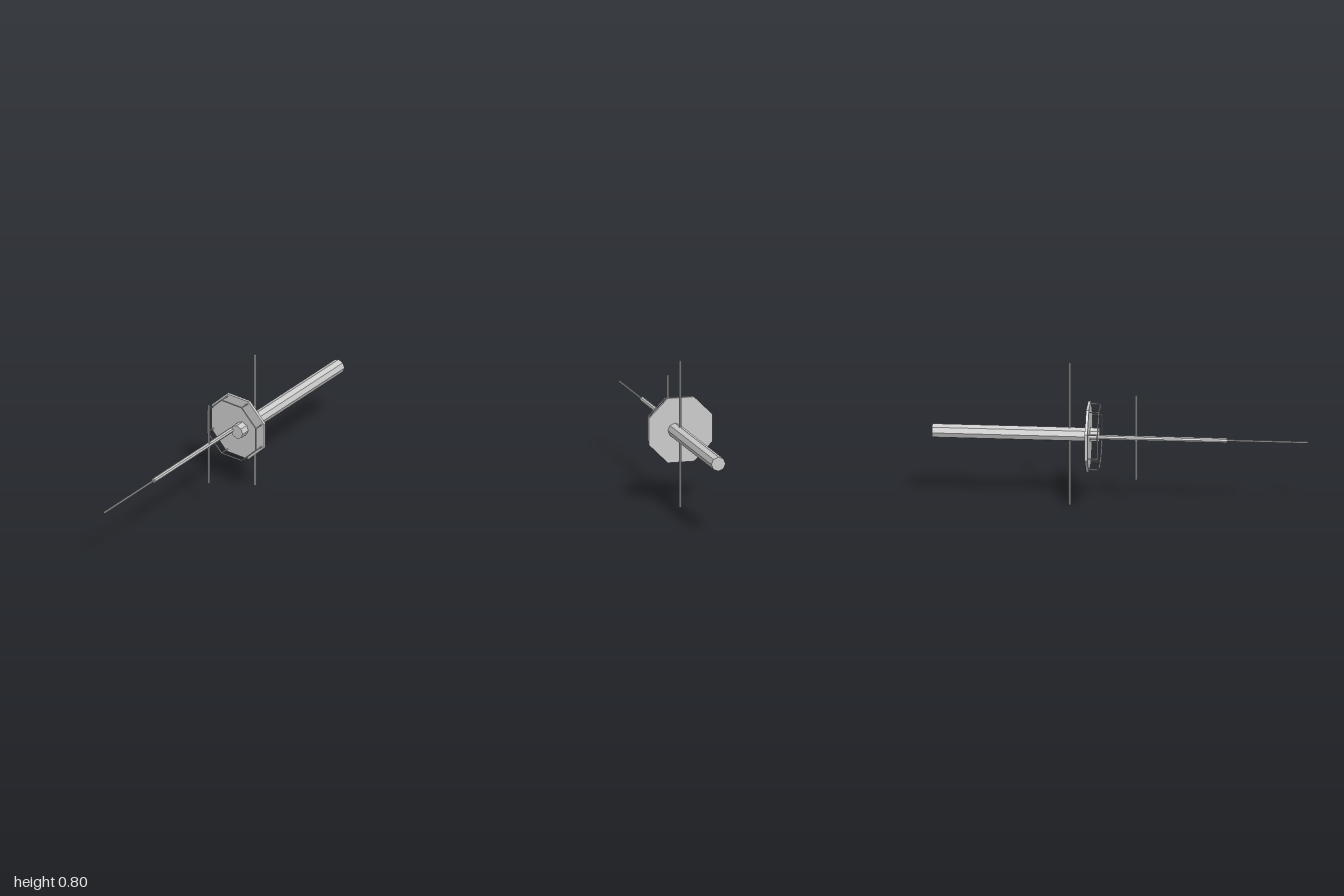
import * as THREE from 'three';

const material = new THREE.MeshStandardMaterial({ color: 0xcccccc, flatShading: true });
const AXIS_Y = 0.397;

// Straight faceted bar between two points
function bar(name, a, b, radius, sides = 8, turn = 0) {
  const start = new THREE.Vector3(...a), end = new THREE.Vector3(...b);
  const dir = end.clone().sub(start);
  const geometry = new THREE.CylinderGeometry(radius, radius, dir.length(), sides);
  geometry.rotateY(turn);
  const mesh = new THREE.Mesh(geometry, material);
  mesh.name = name;
  mesh.position.copy(start).add(end).multiplyScalar(0.5);
  mesh.quaternion.setFromUnitVectors(new THREE.Vector3(0, 1, 0), dir.normalize());
  return mesh;
}

export function createModel() {
  const model = new THREE.Group();
  model.name = 'model';

  // Long rear body and octagonal plate
  model.add(bar('rearBody', [0.033, AXIS_Y, -1], [0.033, AXIS_Y, -0.11], 0.039));
  model.add(bar('octagonPlate', [0, AXIS_Y, -0.175], [0, AXIS_Y, -0.16], 0.19, 8, Math.PI / 8));

  // Stepped front probe
  model.add(bar('probe', [-0.003, AXIS_Y, -0.165], [-0.003, AXIS_Y, 0.57], 0.0135));
  model.add(bar('probeTip', [-0.003, AXIS_Y, 0.56], [-0.003, AXIS_Y, 1], 0.0055));

  // Vertical cross rods
  model.add(bar('frontRod', [-0.003, 0.162, 0.086], [-0.003, 0.636, 0.086], 0.007));
  model.add(bar('rearRod', [0.032, 0, -0.27], [0.032, 0.795, -0.27], 0.007));

  // Thin octagonal rail held off the plate by a post at each corner
  const rail = new THREE.Group();
  rail.name = 'guardRail';
  const corner = (i, z) => {
    const angle = (i + 0.5) * Math.PI / 4;
    return [0.175 * Math.cos(angle), AXIS_Y + 0.175 * Math.sin(angle), z];
  };
  for (let i = 0; i < 8; i++) {
    rail.add(bar('railBar', corner(i, -0.108), corner(i + 1, -0.108), 0.0036, 6));
    rail.add(bar('railPost', corner(i, -0.162), corner(i, -0.106), 0.0036, 6));
  }
  model.add(rail);
  return model;
}
